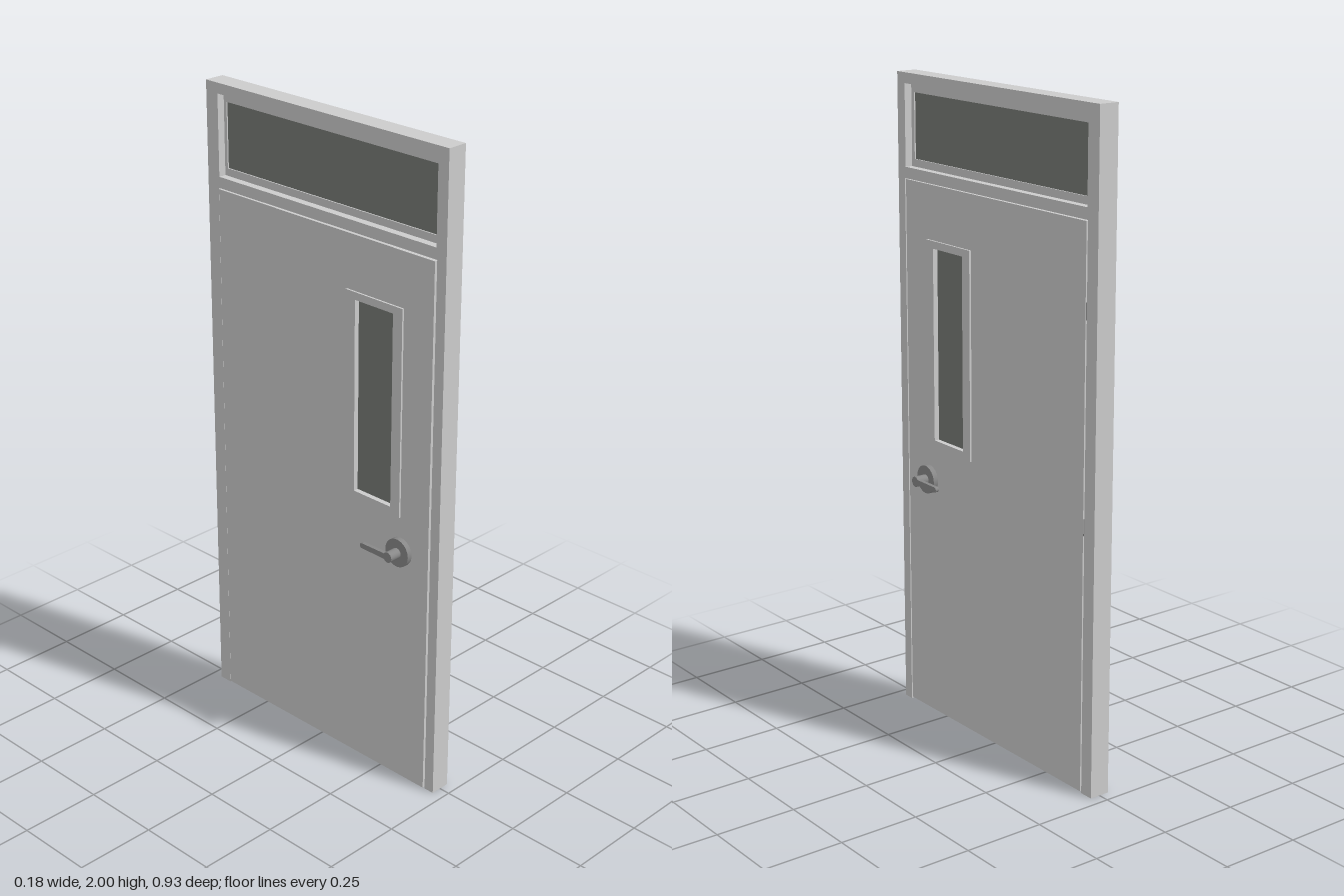
import * as THREE from 'three';

const grey = new THREE.MeshStandardMaterial({ color: 0xcccccc });
const glass = new THREE.MeshStandardMaterial({ color: 0x777a76 });
const metal = new THREE.MeshStandardMaterial({ color: 0x888888 });

function add(parent, name, geometry, material = grey) {
  const mesh = new THREE.Mesh(geometry, material);
  mesh.name = name;
  parent.add(mesh);
  return mesh;
}

// Rectangle [zMin, zMax, yMin, yMax] as points of the door plane (shape x is -z)
const rect = ([z0, z1, y0, y1]) =>
  [[-z1, y0], [-z0, y0], [-z0, y1], [-z1, y1]].map(p => new THREE.Vector2(...p));

// Slab of the given outline and rectangular holes, centred on x = 0
function slab(points, holes, halfDepth) {
  const shape = new THREE.Shape(points);
  for (const h of holes) shape.holes.push(new THREE.Path(rect(h)));
  return new THREE.ExtrudeGeometry(shape, { depth: 2 * halfDepth, bevelEnabled: false })
    .translate(0, 0, -halfDepth).rotateY(Math.PI / 2);
}

// Lever set for the +x face; the lever points towards -z
function leverHandle() {
  const g = new THREE.Group();
  const disc = (r, x0, x1) =>
    new THREE.CylinderGeometry(r, r, x1 - x0, 32).rotateZ(Math.PI / 2).translate((x0 + x1) / 2, 0, 0);
  add(g, 'rose', disc(0.044, 0.03, 0.05), metal);
  add(g, 'neck', disc(0.016, 0.04, 0.089), metal);
  const lever = new THREE.Shape();
  lever.moveTo(0, -0.009);
  lever.lineTo(0.101, -0.008);
  lever.absarc(0.101, 0, 0.008, -Math.PI / 2, Math.PI / 2);
  lever.lineTo(0, 0.009);
  add(g, 'lever', new THREE.ExtrudeGeometry(lever, { depth: 0.012, bevelEnabled: false, curveSegments: 8 })
    .rotateY(Math.PI / 2).translate(0.077, 0, 0), metal);
  return g;
}

export function createModel() {
  const model = new THREE.Group();
  model.name = 'door';

  // Frame: open below for the leaf, with a transom opening above
  const outline = [
    [-0.465, 0], [-0.432, 0], [-0.432, 1.686], [0.421, 1.686],
    [0.421, 0], [0.465, 0], [0.465, 2], [-0.465, 2],
  ].map(p => new THREE.Vector2(...p));
  const transom = [-0.418, 0.428, 1.72, 1.968];
  const transomPane = [-0.407, 0.414, 1.743, 1.941];
  add(model, 'frame', slab(outline, [transom], 0.032));
  add(model, 'transomStop', slab(rect(transom), [transomPane], 0.008));
  add(model, 'transomGlass', slab(rect(transomPane), [], 0.004), glass);

  // Leaf, turned very slightly about its hinge edge
  const hinged = new THREE.Group();
  hinged.name = 'leaf';
  hinged.position.z = -0.418;
  hinged.rotation.y = -0.005;
  model.add(hinged);
  const leaf = new THREE.Group();
  leaf.name = 'leafParts';
  leaf.position.z = 0.418;
  hinged.add(leaf);

  const pane = [0.141, 0.286, 0.902, 1.495];
  add(leaf, 'panel', slab(rect([-0.418, 0.43, 0.005, 1.683]), [pane], 0.034));
  add(leaf, 'windowTrim', slab(rect([0.105, 0.321, 0.878, 1.518]), [pane], 0.04));
  add(leaf, 'windowGlass', slab(rect(pane), [], 0.024), glass);

  // Lever handles on both faces
  for (const side of [1, -1]) {
    const handle = leverHandle();
    handle.name = side > 0 ? 'leftHandle' : 'rightHandle';
    handle.position.set(0, 0.77, 0.323);
    if (side < 0) handle.scale.x = -1;
    leaf.add(handle);
  }

  // Hinge plates in the gap
  for (const y of [0.815, 1.435]) {
    add(model, 'hinge', new THREE.BoxGeometry(0.064, 0.05, 0.004), metal).position.set(0.001, y, -0.419);
  }
  return model;
}
